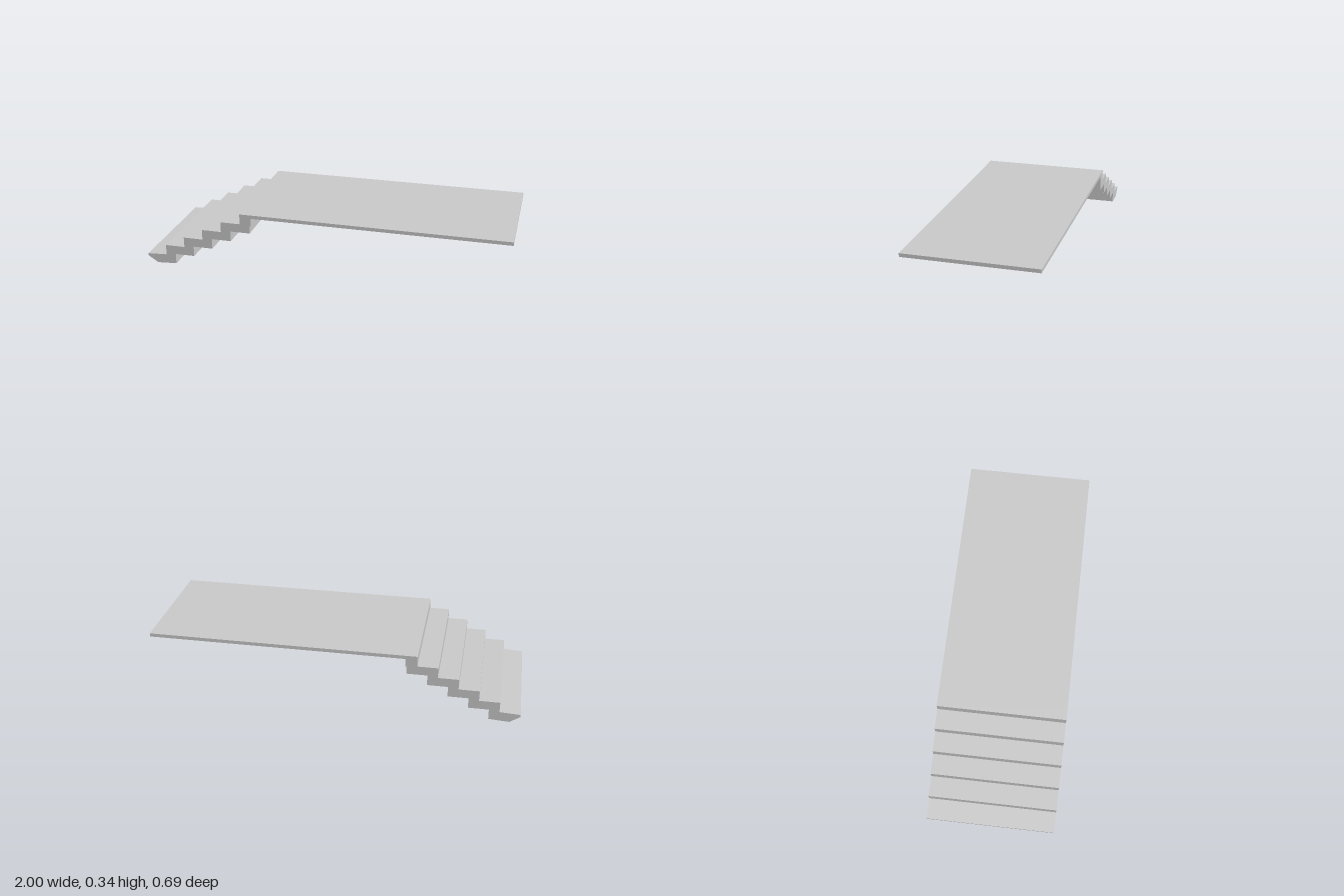
import * as THREE from 'three';

const WIDTH = 0.693;   // full depth along z
const TOP = 0.342;     // height of the platform surface
const RISE = 0.0575;
const RUN = 0.11;
const STEPS = 5;       // treads below the platform
const BACK = -0.395;   // where the flight meets the platform

const material = new THREE.MeshStandardMaterial({ color: 0xcccccc, flatShading: true });

// Extrude an x-y profile across the full width, centred on z = 0
function profileMesh(name, points) {
  const shape = new THREE.Shape(points.map(([x, y]) => new THREE.Vector2(x, y)));
  const geometry = new THREE.ExtrudeGeometry(shape, { depth: WIDTH, bevelEnabled: false });
  geometry.translate(0, 0, -WIDTH / 2);
  const mesh = new THREE.Mesh(geometry, material);
  mesh.name = name;
  return mesh;
}

export function createModel() {
  const group = new THREE.Group();
  group.name = 'stairsWithPlatform';

  // Folded stair slab: stepped top going up, stepped underside coming back down
  const stairs = [[-1, 0.036], [-1, 0.049]];
  for (let i = 0; i < STEPS; i++) {
    const x = -1 + RUN * (i + 1);
    const y = TOP - RISE * (STEPS - i);
    stairs.push([x, y], [x, y + RISE]);
  }
  stairs.push([BACK, TOP]);
  for (let i = STEPS - 1; i >= 0; i--) {
    const x = BACK - RUN * (STEPS - 1 - i);
    const y = 0.006 + RISE * i;
    stairs.push([x, y]);
    if (i > 0) stairs.push([x - RUN, y]);
  }
  stairs.push([-0.945, 0]); // sloped nose under the lowest tread
  group.add(profileMesh('stairs', stairs));

  // Small wedge-shaped ledge behind the top riser
  group.add(profileMesh('supportLedge', [
    [BACK, 0.323], [BACK, 0.285], [-0.388, 0.272], [-0.388, 0.323],
  ]));

  // Long thin platform
  group.add(profileMesh('platform', [
    [BACK, 0.323], [1, 0.323], [1, TOP], [BACK, TOP],
  ]));

  return group;
}
